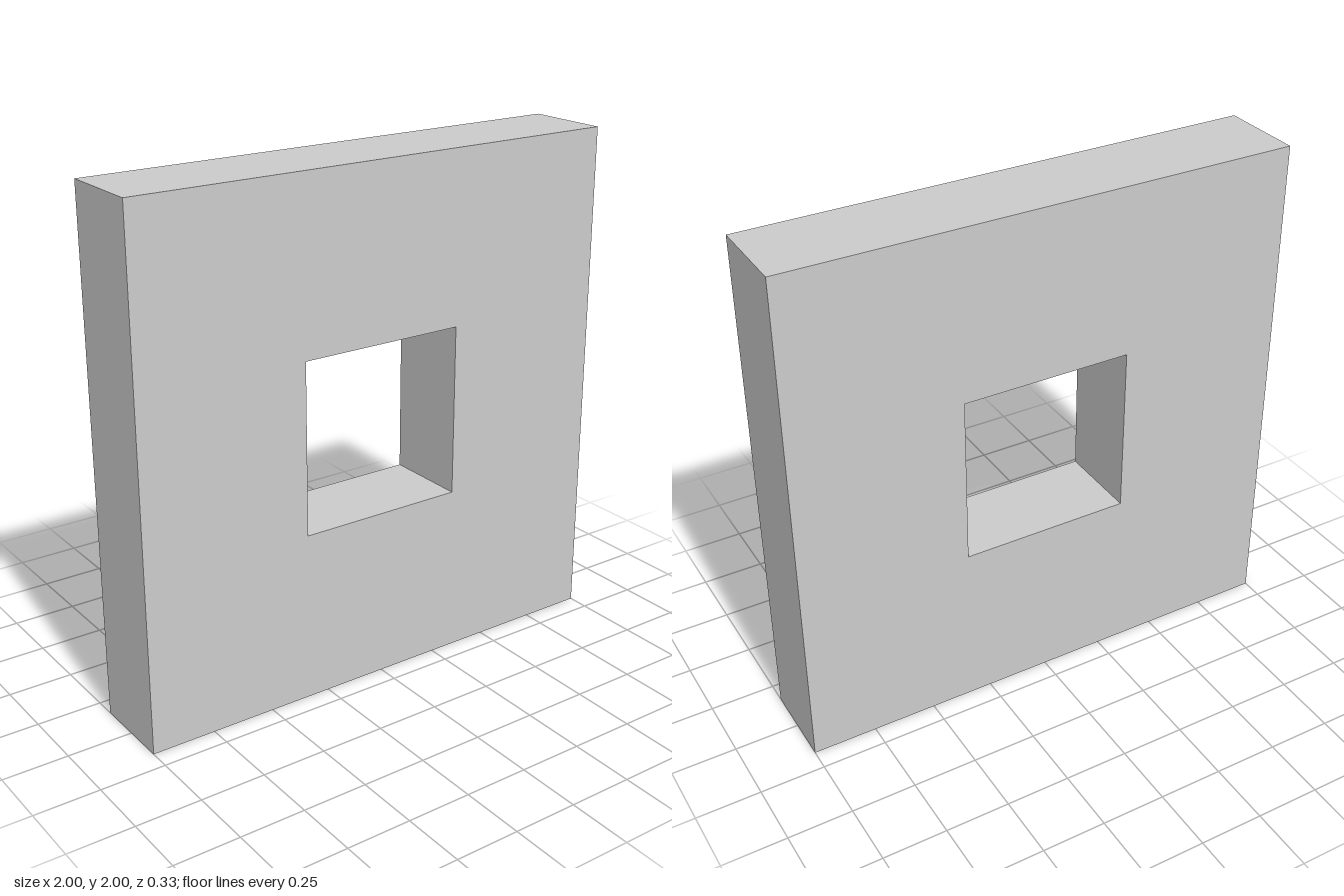
import * as THREE from 'three';

const SIZE = 2;
const HOLE = SIZE / 3;
const DEPTH = SIZE / 6;

// Adds a square outline centred on (0, SIZE / 2) to a path
function square(path, side) {
  const h = side / 2, cy = SIZE / 2;
  path.moveTo(-h, cy - h);
  path.lineTo(h, cy - h);
  path.lineTo(h, cy + h);
  path.lineTo(-h, cy + h);
  path.closePath();
  return path;
}

export function createModel() {
  const group = new THREE.Group();
  group.name = 'squareFrame';

  // Thick square slab with a square opening through the middle
  const outline = square(new THREE.Shape(), SIZE);
  outline.holes.push(square(new THREE.Path(), HOLE));
  const geometry = new THREE.ExtrudeGeometry(outline, { depth: DEPTH, bevelEnabled: false });
  geometry.translate(0, 0, -DEPTH / 2);

  const material = new THREE.MeshStandardMaterial({ color: 0xcccccc, flatShading: true });
  const slab = new THREE.Mesh(geometry, material);
  slab.name = 'slabWithOpening';
  group.add(slab);
  return group;
}
